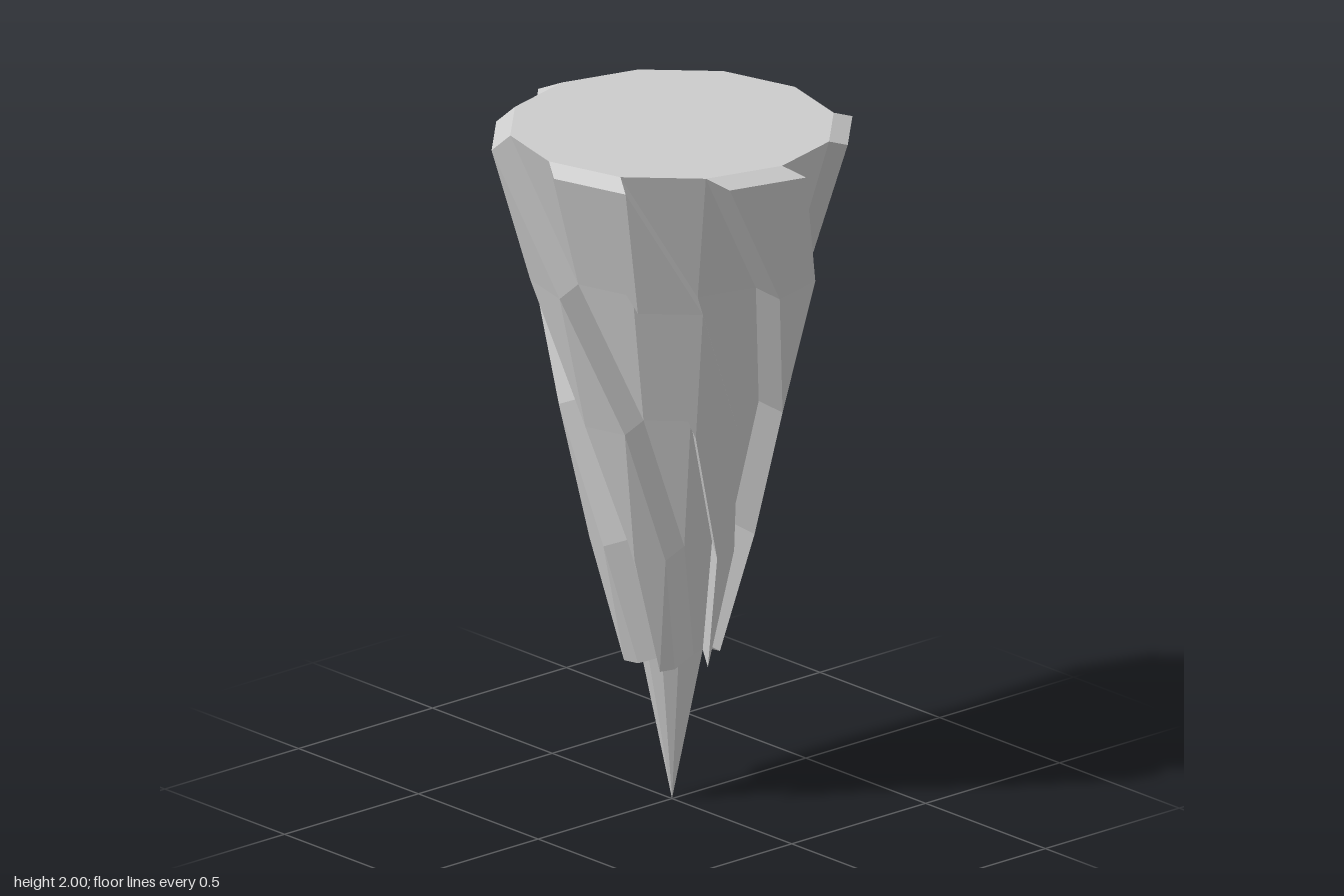
import * as THREE from 'three';

const SIDES = 12;
const STEP = (Math.PI * 2) / SIDES;
// Cone rings from top to bottom: [radius, height]
const RINGS = [[0.46, 2], [0.35, 1.61], [0.254, 1.21], [0.167, 0.81], [0.09, 0.455]];

const material = new THREE.MeshStandardMaterial({ color: 0xcccccc, flatShading: true });

function ringPoint(level, side) {
  const [r, y] = RINGS[level];
  return new THREE.Vector3(r * Math.cos(side * STEP), y, r * Math.sin(side * STEP));
}

// One raised strip that winds one side further round at each ring
function ridgeGeometry(start) {
  const angle = (start - 1) * STEP;
  const push = new THREE.Vector3(0.07 * Math.cos(angle), -0.027, 0.07 * Math.sin(angle));
  const inner = (level, k) => ringPoint(level, start - level + k);
  const outer = (level, k) => inner(level, k).add(push);
  const corners = [];
  const quad = (a, b, c, d) => corners.push(a, b, d, b, c, d);
  const last = RINGS.length - 1;

  for (let i = 0; i < last; i++) {
    const j = i + 1;
    quad(outer(j, 0), outer(i, 0), outer(i, 1), outer(j, 1)); // outer face
    quad(outer(j, 0), inner(j, 0), inner(i, 0), outer(i, 0)); // side walls
    quad(inner(j, 1), outer(j, 1), outer(i, 1), inner(i, 1));
  }
  quad(outer(0, 1), outer(0, 0), inner(0, 0), inner(0, 1)); // top end
  quad(outer(last, 0), outer(last, 1), inner(last, 1), inner(last, 0)); // bottom end

  const geometry = new THREE.BufferGeometry().setFromPoints(corners);
  geometry.computeVertexNormals();
  return geometry;
}

export function createModel() {
  const model = new THREE.Group();
  model.name = 'spiralCone';

  // Faceted cone, point down, with a flat lid
  const profile = [[0, 0.005], ...[...RINGS].reverse(), [0, 2]].map(([r, y]) => new THREE.Vector2(r, y));
  const cone = new THREE.Mesh(new THREE.LatheGeometry(profile, SIDES), material);
  cone.name = 'cone';
  model.add(cone);

  // Six spiral ridges on every other side
  const ridges = new THREE.Group();
  ridges.name = 'ridges';
  for (let start = 0; start < SIDES; start += 2) {
    const ridge = new THREE.Mesh(ridgeGeometry(start), material);
    ridge.name = 'ridge';
    ridges.add(ridge);
  }
  model.add(ridges);
  return model;
}
